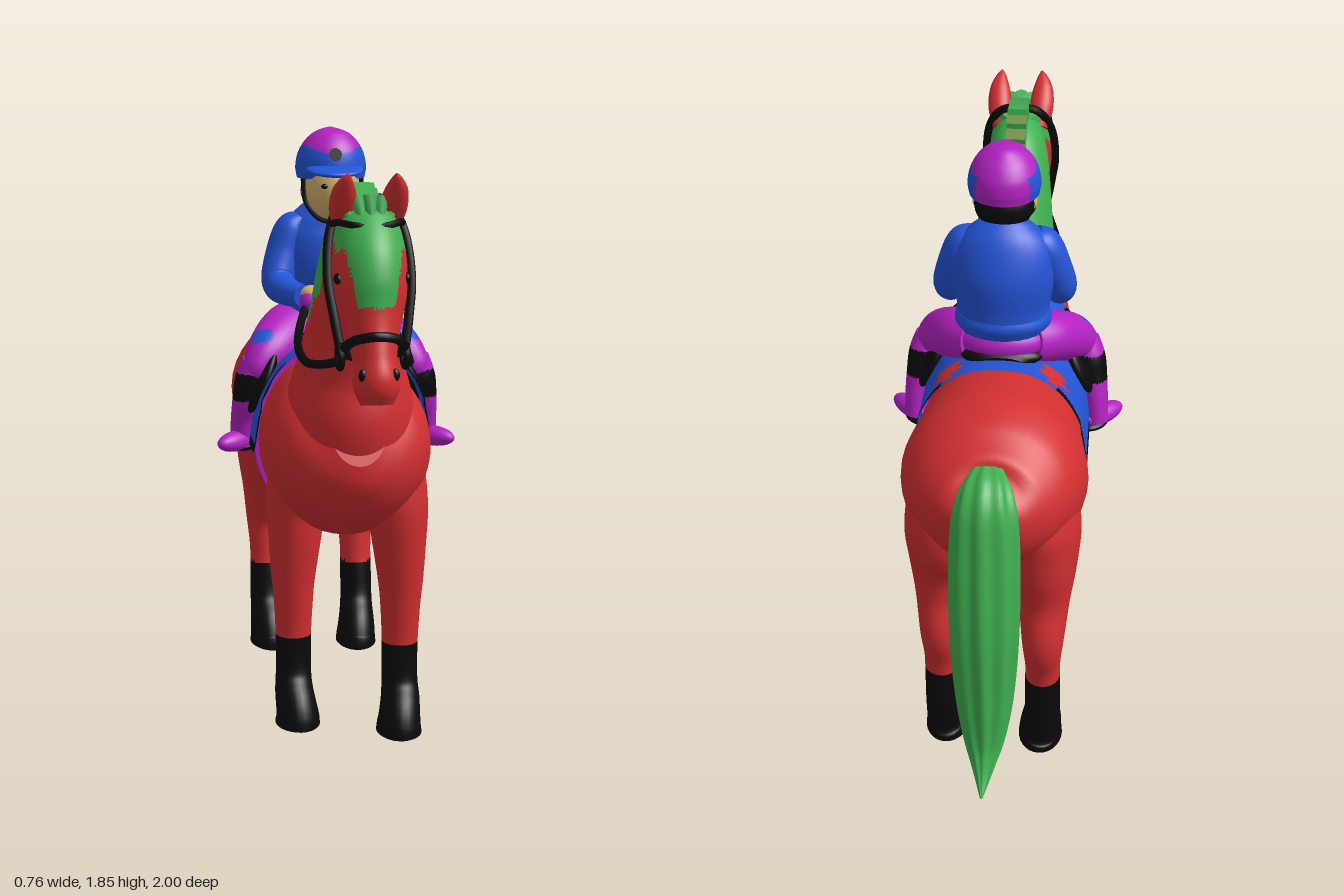
import * as THREE from 'three';

const mat = (name, color, side = THREE.FrontSide) => {
  const m = new THREE.MeshStandardMaterial({ color, side });
  m.name = name;
  return m;
};
const RED = mat('coat red', 0xd22f31), GREEN = mat('mane green', 0x3fae50), OLIVE = mat('mane olive', 0x76904a);
const BLUE = mat('cloth blue', 0x2454d6, THREE.DoubleSide), BLACK = mat('leather black', 0x0a0a0a, THREE.DoubleSide);
const PURPLE = mat('riding purple', 0xb322c2), SKIN = mat('skin tan', 0xd6b26c);
const V = (x, y, z) => new THREE.Vector3(x, y, z);

// Makes a mesh; pick(centroid) chooses the material of each triangle.
function surface(name, pos, idx, mats, pick) {
  const lists = mats.map(() => []);
  for (let i = 0; i < idx.length; i += 3) {
    const c = V(0, 0, 0);
    for (let k = 0; k < 3; k++) c.add(pos[idx[i + k]]);
    lists[pick ? pick(c.divideScalar(3)) : 0].push(idx[i], idx[i + 1], idx[i + 2]);
  }
  const g = new THREE.BufferGeometry().setFromPoints(pos);
  g.setIndex(lists.flat());
  let start = 0;
  lists.forEach((l, k) => { g.addGroup(start, l.length, k); start += l.length; });
  g.computeVertexNormals();
  const m = new THREE.Mesh(g, mats.length > 1 ? mats : mats[0]);
  m.name = name;
  return m;
}

// Smooth body through elliptical sections [x, y, z, half width, half depth].
function loft(name, secs, mats, { pick, rows = 28, sides = 28, ripple = 0, flip = 1 } = {}) {
  const path = new THREE.CatmullRomCurve3(secs.map(s => V(s[0] * flip, s[1], s[2])), false, 'catmullrom');
  const radii = new THREE.CatmullRomCurve3(secs.map(s => V(s[3], s[4], 0)), false, 'catmullrom');
  const pos = [], idx = [];
  for (let i = 0; i <= rows; i++) {
    const t = i / rows, c = path.getPoint(t), r = radii.getPoint(t), T = path.getTangent(t);
    const S = V(1, 0, 0).addScaledVector(T, -T.x).normalize(), N = T.clone().cross(S);
    for (let j = 0; j < sides; j++) {
      const a = j / sides * Math.PI * 2, k = 1 + ripple * Math.cos(a * 9 + t * 3);
      pos.push(c.clone().addScaledVector(S, Math.cos(a) * Math.max(r.x, 0.002) * k)
        .addScaledVector(N, Math.sin(a) * Math.max(r.y, 0.002) * k));
    }
  }
  for (let i = 0; i < rows; i++) for (let j = 0; j < sides; j++) {
    const n = (j + 1) % sides, a = i * sides + j, b = i * sides + n, c = b + sides, d = a + sides;
    idx.push(a, b, c, a, c, d);
  }
  for (const end of [0, rows]) {
    const base = pos.length;
    for (let j = 0; j < sides; j++) pos.push(pos[end * sides + j].clone());
    pos.push(path.getPoint(end ? 1 : 0));
    for (let j = 0; j < sides; j++) {
      const n = (j + 1) % sides;
      idx.push(base + sides, base + (end ? j : n), base + (end ? n : j));
    }
  }
  return surface(name, pos, idx, mats, pick);
}

const place = (name, geo, m, p, rot = [0, 0, 0], s = [1, 1, 1]) => {
  const o = new THREE.Mesh(geo, m);
  o.name = name; o.position.set(...p); o.rotation.set(...rot); o.scale.set(...s);
  return o;
};
const ball = (name, m, p, s, rot) => place(name, new THREE.SphereGeometry(1, 24, 18), m, p, rot, s);
const strap = (name, pts, r, closed = false) => place(name, new THREE.TubeGeometry(
  new THREE.CatmullRomCurve3(pts.map(p => V(...p)), closed), 40, r, 7, closed), BLACK, [0, 0, 0]);

function horse(g) {
  g.add(loft('horseBody', [[0, 1.03, -.735, .05, .05], [0, 1.005, -.705, .145, .13], [0, .965, -.61, .238, .212],
    [0, .935, -.46, .285, .265], [0, .925, -.3, .268, .262], [0, .89, -.1, .25, .265], [0, .875, .1, .25, .285],
    [0, .89, .3, .255, .285], [0, .915, .44, .245, .255], [0, .95, .54, .19, .19], [0, .98, .6, .08, .1]],
    [RED], { rows: 48, sides: 40 }));

  // Neck and chest: red throat, green crest with a jagged border
  const crest = c => (c.y > 1.14 + .965 * (c.z - .3) + .015 * Math.sin(c.z * 75) ? 1 : 0);
  g.add(loft('neck', [[0, .83, .35, .13, .16], [0, .92, .39, .19, .225], [0, 1.05, .415, .19, .235], [0, 1.18, .445, .157, .195],
    [0, 1.32, .49, .13, .175], [0, 1.45, .55, .115, .155], [0, 1.55, .615, .10, .12], [0, 1.62, .68, .075, .075]],
    [RED, GREEN], { pick: crest, rows: 64, sides: 56 }));

  // Head with green forehead, blaze and jaw patch
  const face = c => {
    const blaze = c.z > .80 && c.y > 1.4 && Math.abs(c.x) < .05 + .2 * (c.y - 1.4);
    const jaw = c.z < .785 && c.y < 1.37;
    return c.y > 1.55 + .012 * Math.sin(c.z * 90) || blaze || jaw ? 1 : 0;
  };
  g.add(loft('horseHead', [[0, 1.66, .71, .06, .04], [0, 1.60, .745, .09, .095], [0, 1.51, .78, .105, .135],
    [0, 1.41, .815, .10, .135], [0, 1.32, .86, .075, .10], [0, 1.24, .90, .06, .085],
    [0, 1.18, .925, .065, .08], [0, 1.13, .935, .045, .045]], [RED, GREEN], { pick: face, rows: 56, sides: 48 }));

  // Upright mane blocks and forelock
  const mane = new THREE.CatmullRomCurve3([V(0, 1.66, .73), V(0, 1.675, .62), V(0, 1.63, .51), V(0, 1.53, .40),
    V(0, 1.40, .305), V(0, 1.27, .245)]);
  for (let i = 0; i < 13; i++) {
    const p = mane.getPointAt(i / 12), t = mane.getTangentAt(i / 12);
    const top = i > 2 && i < 11 ? OLIVE : GREEN;
    g.add(place('maneBlock', new THREE.BoxGeometry(.065, .07, .072), [GREEN, GREEN, top, GREEN, GREEN, GREEN],
      p.toArray(), [Math.atan2(t.y, -t.z) + .3, 0, 0]));
  }
  for (let i = -2; i <= 2; i++)
    g.add(place('forelock', new THREE.ConeGeometry(.025, .1, 8), GREEN, [i * .027, 1.645 - .005 * i * i, .815 - .006 * i * i], [Math.PI - .55, 0, i * .12]));

  g.add(loft('tail', [[0, 1.11, -.69, .045, .03], [0, 1.05, -.765, .085, .065], [0, .92, -.80, .10, .075],
    [0, .66, -.833, .10, .088], [0, .42, -.84, .085, .09], [0, .27, -.872, .06, .065], [0, .19, -.93, .03, .035],
    [0, .14, -.997, .004, .006]], [GREEN], { rows: 40, sides: 72, ripple: .06 }));

  for (const s of [1, -1]) {
    // Legs: the right pair stands slightly further back
    const f = s > 0 ? 0 : -.115, h = s > 0 ? 0 : -.035, sock = c => (c.y < .285 ? 1 : 0), o = { flip: s, rows: 60, pick: sock };
    g.add(loft('frontLeg', [[.13, .88, .38 + f / 2, .10, .13], [.148, .72, .405 + f, .095, .12], [.155, .6, .41 + f, .083, .10],
      [.16, .48, .41 + f, .07, .08], [.16, .40, .41 + f, .062, .068], [.16, .28, .405 + f, .056, .058],
      [.16, .16, .405 + f, .056, .058], [.16, .1, .42 + f, .06, .072], [.155, .05, .44 + f, .064, .088],
      [.152, .02, .447 + f, .068, .095], [.152, 0, .447 + f, .07, .098]], [RED, BLACK], o));
    g.add(loft('hindLeg', [[.12, .98, -.50, .12, .15], [.145, .82, -.505, .125, .18], [.155, .68, -.50 + h, .105, .14],
      [.16, .56, -.525 + h, .08, .092], [.16, .44, -.56 + h, .065, .078], [.16, .34, -.545 + h, .055, .062],
      [.16, .26, -.535 + h, .055, .06], [.16, .14, -.52 + h, .056, .065], [.155, .06, -.48 + h, .064, .09],
      [.152, .02, -.47 + h, .068, .105], [.152, 0, -.47 + h, .07, .108]], [RED, BLACK], o));

    // Ears, eyes and nostrils
    g.add(loft('ear', [[.062, 1.60, .72, .03, .03], [.07, 1.655, .76, .04, .034], [.073, 1.705, .80, .034, .027],
      [.07, 1.74, .83, .017, .014], [.067, 1.757, .842, .003, .003]], [RED], { flip: s }));
    g.add(ball('horseEye', BLACK, [s * .096, 1.47, .845], [.012, .016, .022]));
    g.add(ball('nostril', BLACK, [s * .045, 1.22, .972], [.012, .018, .01]));

    // Bridle cheek strap, bit ring and rein
    g.add(strap('cheekStrap', [[0, 1.685, .69], [s * .06, 1.67, .695], [s * .102, 1.6, .735], [s * .118, 1.47, .79],
      [s * .105, 1.36, .83], [s * .09, 1.27, .855]], .014));
    g.add(place('bitRing', new THREE.TorusGeometry(.031, .011, 8, 20), BLACK, [s * .092, 1.255, .855], [0, Math.PI / 2, 0]));
    g.add(strap('rein', [[s * .09, 1.24, .845], [s * .125, 1.21, .72], [s * .155, 1.195, .56], [s * .155, 1.225, .4],
      [s * .12, 1.29, .25], [s * .09, 1.325, .19]], .013));
  }
  g.add(strap('noseband', [[0, 1.325, .965], [.06, 1.31, .93], [.085, 1.275, .87], [.06, 1.25, .815], [0, 1.235, .79],
    [-.06, 1.25, .815], [-.085, 1.275, .87], [-.06, 1.31, .93]], .014, true));
  g.add(strap('browband', [[.1, 1.61, .735], [.09, 1.62, .79], [.05, 1.615, .835], [0, 1.61, .845], [-.05, 1.615, .835],
    [-.09, 1.62, .79], [-.1, 1.61, .735]], .01));
}

function tack(g) {
  // Draped saddle cloth with a black border, rounded lower corners and a red patch on each rear side
  const half = [[0, 1.185], [.1, 1.17], [.19, 1.11], [.25, 1.01], [.268, .93], [.276, .85]];
  const profile = new THREE.CatmullRomCurve3([...half.slice(1).reverse().map(p => V(-p[0], p[1], 0)), ...half.map(p => V(p[0], p[1], 0))]);
  const depth = y => .285 - .06 * THREE.MathUtils.clamp((.93 - y) / .08, 0, 1) ** 2;
  const pos = [], idx = [], rows = 48, cols = 96;
  for (let i = 0; i <= rows; i++) for (let j = 0; j <= cols; j++) {
    const p = profile.getPointAt(j / cols), u = i / rows * 2 - 1;
    pos.push(V(p.x, p.y + .022 * u * u * (p.y > 1 ? 1 : 0), .01 + u * depth(p.y)));
    if (i < rows && j < cols) {
      const a = i * (cols + 1) + j, b = a + cols + 1;
      idx.push(a, b, a + 1, a + 1, b, b + 1);
    }
  }
  g.add(surface('saddleCloth', pos, idx, [BLUE, BLACK, RED], c => {
    if (c.y < .878 || (Math.abs(c.z - .01) > depth(c.y) - .028 && c.y < 1.14)) return 1;
    return Math.hypot((c.z + .185) / .055, (Math.abs(c.x) - .165) / .04) < 1 + .25 * Math.sin(c.z * 120) ? 2 : 0;
  }));

  g.add(loft('saddleSeat', [[0, 1.185, -.19, .07, .02], [0, 1.19, -.15, .125, .035], [0, 1.18, -.05, .13, .035],
    [0, 1.19, .08, .10, .04], [0, 1.215, .14, .06, .035], [0, 1.22, .18, .03, .02]], [BLACK]));
  g.add(loft('girth', [[0, .877, .072, .264, .297], [0, .877, .145, .264, .297]], [PURPLE], { rows: 2, sides: 56 }));
  for (const s of [1, -1]) {
    g.add(ball('saddleFlap', BLACK, [s * .235, 1.06, .09], [.03, .12, .11], [0, 0, s * .4]));
    g.add(strap('stirrupLeather', [[s * .265, 1.05, .07], [s * .29, .98, .05], [s * .29, .9, .03]], .009));
  }
}

function rider(g) {
  g.add(ball('hips', PURPLE, [0, 1.225, -.075], [.15, .075, .115]));
  g.add(loft('jacket', [[0, 1.245, -.065, .135, .115], [0, 1.28, -.062, .152, .13], [0, 1.31, -.06, .147, .125],
    [0, 1.335, -.06, .145, .123], [0, 1.43, -.055, .16, .13], [0, 1.52, -.045, .15, .112], [0, 1.575, -.03, .108, .085],
    [0, 1.61, -.015, .055, .05]], [BLUE], { rows: 40 }));
  const patch = c => (Math.hypot(Math.abs(c.x) - .225, c.y - 1.18, c.z - .1) < .042 ? 1 : 0);
  for (const s of [1, -1]) {
    const o = { flip: s, rows: 36 };
    g.add(loft('sleeve', [[.095, 1.555, -.035, .03, .045], [.128, 1.52, -.032, .05, .062], [.155, 1.44, -.02, .054, .062],
      [.173, 1.36, .015, .052, .058], [.15, 1.335, .085, .045, .045], [.11, 1.33, .165, .034, .034]], [BLUE], o));
    g.add(ball('glove', PURPLE, [s * .09, 1.316, .205], [.037, .04, .044]));
    g.add(ball('handBack', SKIN, [s * .085, 1.342, .19], [.036, .026, .046]));
    g.add(loft('thigh', [[.07, 1.22, -.1, .075, .075], [.13, 1.20, -.03, .09, .082], [.20, 1.15, .07, .078, .078],
      [.245, 1.105, .115, .055, .06], [.26, 1.07, .115, .04, .04]], [PURPLE, BLUE], { ...o, pick: patch }));
    g.add(loft('lowerLeg', [[.25, 1.12, .115, .048, .05], [.268, 1.06, .105, .052, .06], [.28, .995, .09, .048, .054],
      [.292, .93, .07, .04, .045], [.298, .85, .055, .036, .04]], [PURPLE, BLACK],
      { ...o, pick: c => (c.y > .995 && c.y < 1.085 ? 1 : 0) }));
    // Boot toes turn outwards
    const boot = new THREE.Group();
    boot.name = 'boot';
    boot.position.set(s * .315, .86, .085);
    boot.rotation.y = s * .75;
    boot.add(ball('bootUpper', PURPLE, [0, 0, 0], [.036, .033, .088]), ball('bootSole', BLACK, [0, -.022, -.04], [.036, .016, .055]));
    g.add(boot);
    // Face details and chin strap
    g.add(ball('riderEye', BLACK, [s * .035, 1.665, .113], [.012, .008, .008]));
    g.add(ball('riderEar', SKIN, [s * .088, 1.645, .01], [.012, .025, .018]));
    g.add(strap('chinStrap', [[s * .093, 1.69, .02], [s * .085, 1.61, .035], [s * .045, 1.56, .065], [0, 1.55, .075]], .008));
  }
  g.add(ball('riderHead', SKIN, [0, 1.655, .025], [.086, .112, .1]));
  g.add(ball('nose', SKIN, [0, 1.64, .121], [.012, .018, .014]));
  g.add(ball('mouth', BLACK, [0, 1.6, .107], [.02, .004, .008]));
  g.add(ball('hair', BLACK, [0, 1.65, -.025], [.092, .08, .083]));

  // Helmet: purple crown, wavy blue front band and peak
  g.add(loft('helmet', [[0, 1.685, -.015, .107, .118], [0, 1.72, -.015, .112, .122], [0, 1.765, -.018, .103, .114],
    [0, 1.805, -.022, .078, .086], [0, 1.83, -.025, .045, .05], [0, 1.842, -.025, .006, .006]], [PURPLE, BLUE],
    { rows: 36, sides: 56, pick: c => (c.y < 1.775 + .012 * Math.sin(c.z * 30 + 1) && c.z > -.095 ? 1 : 0) }));
  g.add(ball('helmetPeak', BLUE, [0, 1.715, .08], [.09, .017, .09], [.15, 0, 0]));
  g.add(place('helmetButton', new THREE.CylinderGeometry(.02, .02, .009, 20), BLACK, [0, 1.762, .097], [1.3, 0, 0]));
}

export function createModel() {
  const model = new THREE.Group();
  for (const [name, make] of [['horse', horse], ['tack', tack], ['rider', rider]]) {
    const g = new THREE.Group();
    g.name = name;
    make(g);
    model.add(g);
  }
  return model;
}
